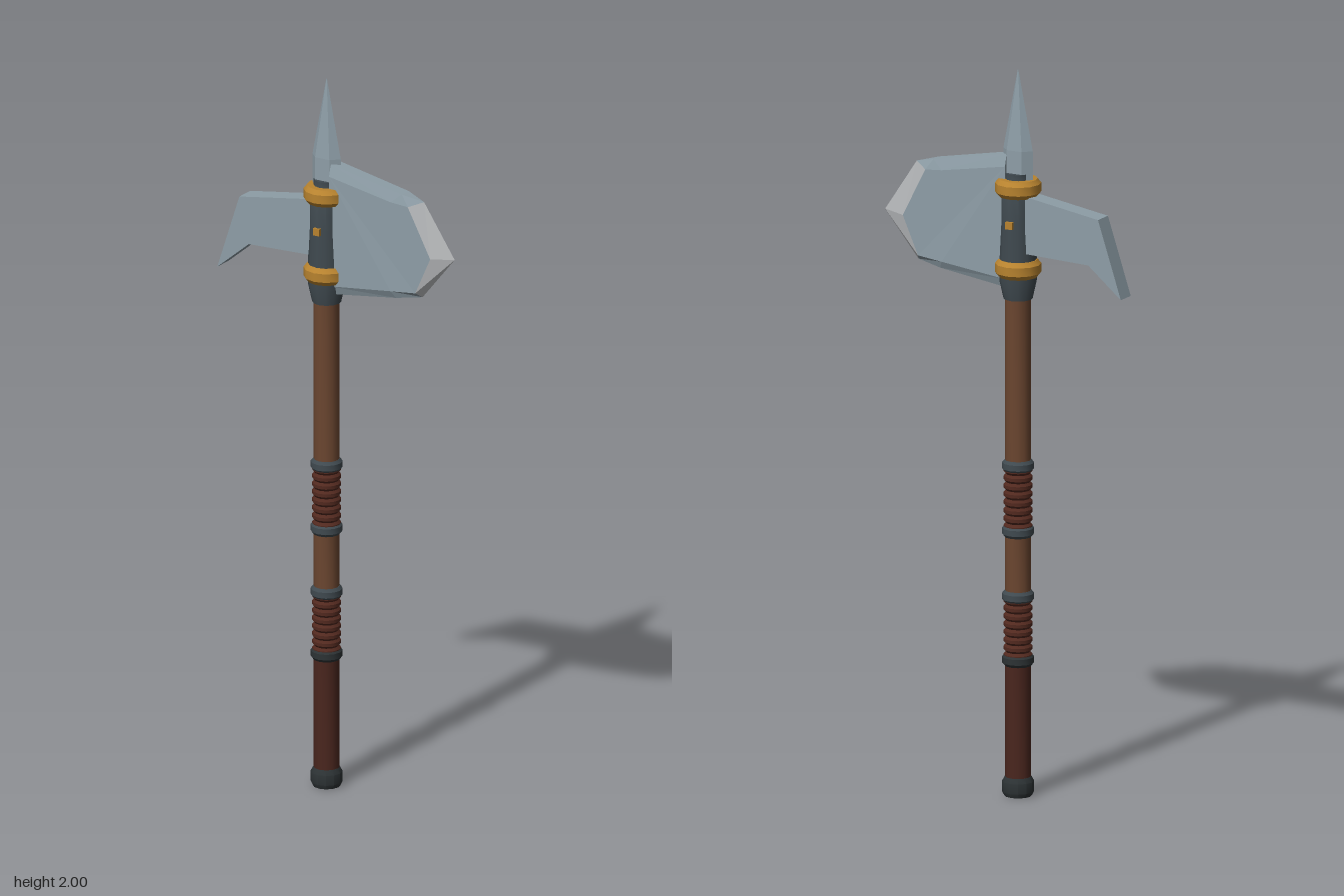
import * as THREE from 'three';
import { toCreasedNormals } from 'three/addons/utils/BufferGeometryUtils.js';

const AXIS = -0.04; // x of the shaft

function material(name, color, options = {}) {
  const m = new THREE.MeshStandardMaterial({ color, ...options });
  m.name = name;
  return m;
}

export function createModel() {
  const model = new THREE.Group();
  model.name = 'battleAxe';

  const steel = material('steel', 0x8e9ea7, { flatShading: true });
  const edge = material('honedEdge', 0xb4b6b8, { flatShading: true });
  const gold = material('gold', 0xb8832f);
  const iron = material('iron', 0x404a50);
  const darkIron = material('darkIron', 0x2d3335);
  const wood = material('wood', 0x6b4630);
  const darkWood = material('darkWood', 0x4a261e);
  const leather = material('leather', 0x52291f);

  const add = (name, geometry, mat, x = 0, y = 0, z = 0) => {
    const mesh = new THREE.Mesh(geometry, mat);
    mesh.name = name;
    mesh.position.set(x, y, z);
    model.add(mesh);
    return mesh;
  };

  // Turned part on the shaft axis, profile of [radius, y] from bottom to top
  const turned = (name, profile, mat) => {
    const points = profile.map(([r, y]) => new THREE.Vector2(r, y));
    const geometry = toCreasedNormals(new THREE.LatheGeometry(points, 12), 0.62);
    return add(name, geometry, mat, AXIS);
  };

  // Rounded band around the shaft
  const band = (name, y, r, h, mat, inner = 0.03) => turned(name, [
    [inner, y - h / 2], [r - h * 0.2, y - h / 2], [r, y - h * 0.25],
    [r, y + h * 0.25], [r - h * 0.2, y + h / 2], [inner, y + h / 2],
  ], mat);

  // Shaft
  const shaft = (name, y0, y1, mat) =>
    turned(name, [[0, y0], [0.035, y0], [0.035, y1], [0, y1]], mat);
  shaft('lowerShaft', 0.02, 0.38, darkWood);
  shaft('middleShaft', 0.54, 0.74, wood);
  shaft('upperShaft', 0.9, 1.4, wood);
  turned('pommel', [[0, 0], [0.037, 0], [0.043, 0.012], [0.043, 0.04], [0.036, 0.053], [0, 0.053]], darkIron);

  // Leather grips with ridges, each between two iron bands
  for (const [start, end] of [[0.375, 0.55], [0.73, 0.91]]) {
    const turns = 8;
    const step = (end - start) / turns;
    const profile = [];
    for (let i = 0; i < turns; i++) {
      const y = start + i * step;
      profile.push([0.033, y], [0.039, y + step * 0.3], [0.039, y + step * 0.7]);
    }
    profile.push([0.033, end]);
    turned('gripWrap', profile, leather);
    band('gripBand', start, 0.043, 0.032, start < 0.5 ? darkIron : iron);
    band('gripBand', end, 0.043, 0.032, iron);
  }

  // Socket holding the head
  turned('socket', [
    [0, 1.37], [0.039, 1.37], [0.05, 1.42], [0.05, 1.48], [0.046, 1.58],
    [0.046, 1.68], [0.035, 1.695], [0.035, 1.717], [0, 1.717],
  ], iron);
  for (const y of [1.455, 1.677]) band('goldBand', y, 0.062, 0.048, gold, 0.034);
  for (const s of [1, -1]) add('stud', new THREE.BoxGeometry(0.02, 0.02, 0.012), gold, AXIS, 1.58, s * 0.046);

  // Spike: flattened six-sided point
  const spikeBase = new THREE.CylinderGeometry(0.045, 0.045, 0.1, 6, 1, false, Math.PI / 2);
  const spikeTip = new THREE.CylinderGeometry(0.001, 0.045, 0.22, 6, 1, false, Math.PI / 2);
  add('spikeBase', spikeBase, steel, AXIS, 1.73).scale.z = 0.56;
  add('spikeTip', spikeTip, steel, AXIS, 1.89).scale.z = 0.56;

  // Rear blade: flat plate with a drooping hook
  const hook = new THREE.Shape([
    [-0.05, 1.664], [-0.3, 1.624], [-0.37, 1.412], [-0.27, 1.495], [-0.05, 1.503],
  ].map(([x, y]) => new THREE.Vector2(x, y)));
  add('rearBlade', new THREE.ExtrudeGeometry(hook, { depth: 0.054, bevelEnabled: false }), steel, 0, 0, -0.027);

  // Front blade: outer rim and raised inner face, [x, y, half thickness]
  const outer = [
    [-0.015, 1.768, 0.018], [0.21, 1.725, 0.017], [0.27, 1.71, 0], [0.367, 1.565, 0],
    [0.265, 1.44, 0], [0.19, 1.428, 0.015], [-0.015, 1.4, 0.017],
  ];
  const inner = [
    [-0.015, 1.735, 0.027], [0.18, 1.7, 0.026], [0.232, 1.695, 0.022], [0.302, 1.56, 0.02],
    [0.255, 1.455, 0.021], [0.18, 1.448, 0.026], [-0.015, 1.425, 0.027],
  ];
  const body = [];
  const honed = [];
  const n = outer.length;
  const place = ([x, y, z], s) => [x, y, z * s];
  const tri = (out, s, a, b, c) => {
    for (const p of s > 0 ? [a, b, c] : [a, c, b]) out.push(...place(p, s));
  };
  for (const s of [1, -1]) {
    for (let i = 0; i < n; i++) {
      const j = (i + 1) % n;
      const out = i === 2 || i === 3 ? honed : body;
      tri(out, s, outer[i], inner[i], inner[j]);
      tri(out, s, outer[i], inner[j], outer[j]);
      if (i > 0 && i < n - 1) tri(body, s, inner[0], inner[i + 1], inner[i]);
    }
  }
  // Rim joining both faces
  for (let i = 0; i < n; i++) {
    const [a, b] = [outer[i], outer[(i + 1) % n]];
    if (a[2] + b[2] === 0) continue;
    const [a1, b1, a2, b2] = [place(a, 1), place(b, 1), place(a, -1), place(b, -1)];
    body.push(...a1, ...b1, ...b2, ...a1, ...b2, ...a2);
  }
  const faces = (positions) => {
    const geometry = new THREE.BufferGeometry();
    geometry.setAttribute('position', new THREE.Float32BufferAttribute(positions, 3));
    geometry.computeVertexNormals();
    return geometry;
  };
  add('frontBlade', faces(body), steel);
  add('cuttingEdge', faces(honed), edge);

  return model;
}
